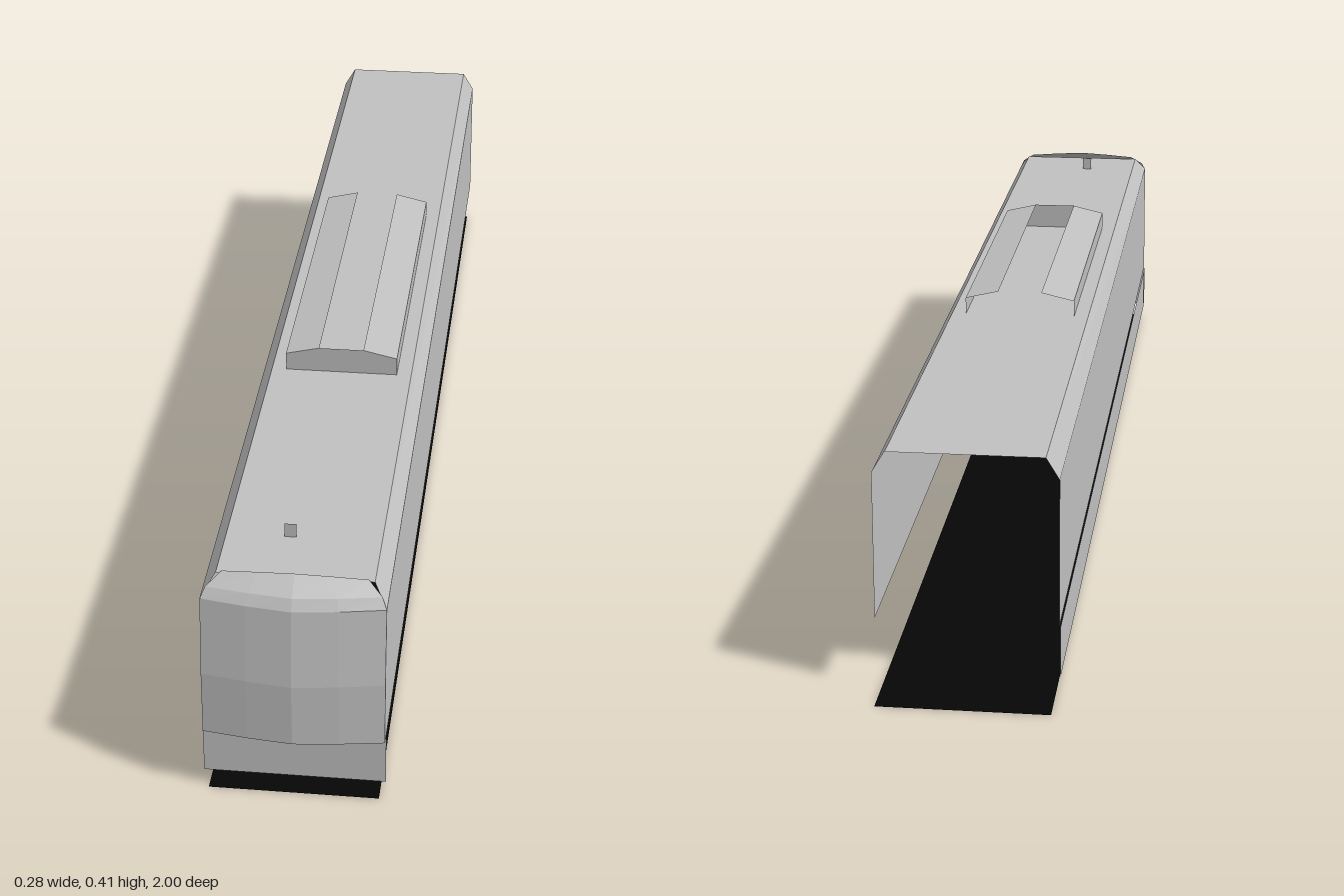
import * as THREE from 'three';

const bodyGrey = new THREE.MeshStandardMaterial({ name: 'bodyGrey', color: 0xc0c0c0, side: THREE.DoubleSide, flatShading: true });
const underBlack = new THREE.MeshStandardMaterial({ name: 'underBlack', color: 0x060606, side: THREE.DoubleSide });

// Surface through equal-length rows of [x, y, z] points
function sheet(name, rows, material = bodyGrey) {
  const n = rows[0].length;
  const index = [];
  for (let r = 0; r < rows.length - 1; r++) {
    for (let c = 0; c < n - 1; c++) {
      const a = r * n + c, b = a + 1, d = a + n, e = d + 1;
      index.push(a, b, e, a, e, d);
    }
  }
  const geo = new THREE.BufferGeometry();
  geo.setAttribute('position', new THREE.Float32BufferAttribute(rows.flat(2), 3));
  geo.setIndex(index);
  geo.computeVertexNormals();
  const mesh = new THREE.Mesh(geo, material);
  mesh.name = name;
  return mesh;
}

// Extends an [x, y] section between two z positions
const run = (name, section, z0, z1) =>
  sheet(name, [z0, z1].map((z) => section.map(([x, y]) => [x, y, z])));

export function createModel() {
  const model = new THREE.Group();
  model.name = 'railCar';

  // Side walls, chamfers and roof: [x, y at back, y at front, front z]
  const half = [
    [0.137, 0.11, 0.11, 0.983],
    [0.137, 0.215, 0.215, 0.98],
    [0.137, 0.34, 0.34, 0.965],
    [0.117, 0.373, 0.368, 0.937],
  ];
  const section = [...half, ...half.slice().reverse().map(([x, ...rest]) => [-x, ...rest])];
  model.add(sheet('bodyShell', [
    section.map(([x, y]) => [x, y, -0.933]),
    section.map(([x, , y, z]) => [x, y, z]),
  ]));

  // Bowed nose: [half width, edge y, centre y, edge z, centre z]
  const noseRows = [
    [0.137, 0.11, 0.11, 0.983, 1.0],
    [0.137, 0.215, 0.215, 0.98, 1.0],
    [0.137, 0.34, 0.34, 0.965, 0.985],
    [0.13, 0.355, 0.357, 0.955, 0.975],
    [0.108, 0.372, 0.378, 0.937, 0.942],
  ];
  model.add(sheet('nose', noseRows.map(([w, ye, yc, ze, zc]) =>
    [-1, -0.5, 0, 0.5, 1].map((t) => {
      const k = Math.abs(t) ** 1.3;
      return [w * t, yc + (ye - yc) * k, zc + (ze - zc) * k];
    }))));

  // Lower skirt: front panel and right side panel
  model.add(sheet('frontSkirt', [0.028, 0.11].map((y) => [[-0.139, y, 0.973], [0.138, y, 0.973]])));
  model.add(run('sideSkirt', [[-0.139, 0.11], [-0.139, 0.028]], -0.935, 0.95));

  // Roof fairings, joined by a cap at the front
  const fairing = [[0.093, 0.368], [0.093, 0.4], [0.037, 0.413]];
  const mirrored = fairing.slice().reverse().map(([x, y]) => [-x, y]);
  model.add(run('leftRoofFairing', fairing, -0.25, 0.345));
  model.add(run('rightRoofFairing', mirrored, -0.25, 0.345));
  const capShape = new THREE.Shape([...fairing, ...mirrored].map(([x, y]) => new THREE.Vector2(x, y)));
  const cap = new THREE.Mesh(new THREE.ShapeGeometry(capShape), bodyGrey);
  cap.name = 'fairingFrontCap';
  cap.position.z = 0.345;
  model.add(cap);

  // Small aerial plate on the roof
  const aerial = new THREE.Mesh(new THREE.PlaneGeometry(0.018, 0.025), bodyGrey);
  aerial.name = 'aerial';
  aerial.position.set(-0.02, 0.379, 0.835);
  model.add(aerial);

  // Flat underside panel
  const floor = new THREE.Mesh(new THREE.PlaneGeometry(0.26, 1.98), underBlack);
  floor.name = 'underPanel';
  floor.rotation.x = -Math.PI / 2;
  floor.position.set(-0.002, 0, -0.01);
  model.add(floor);

  return model;
}
